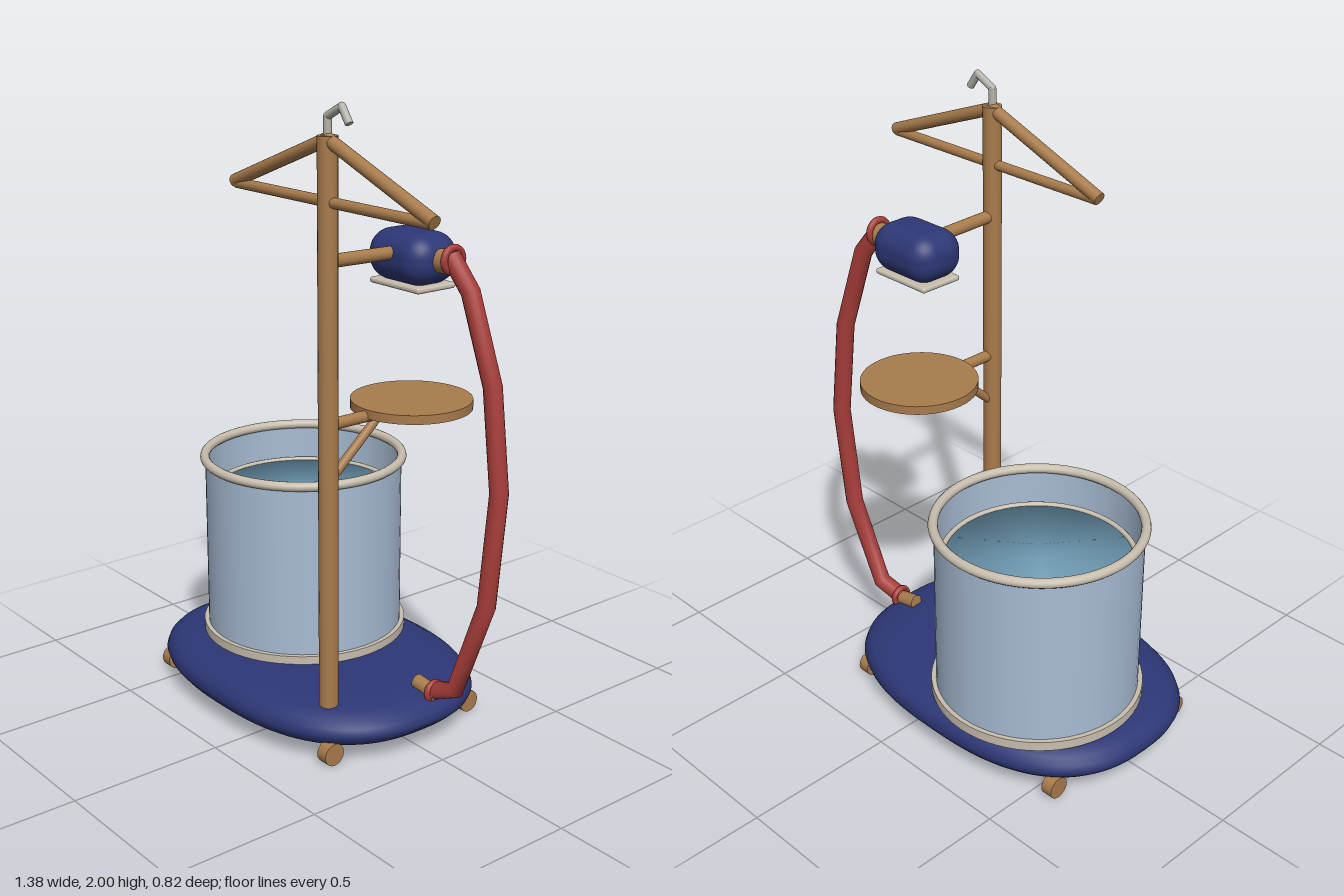
import * as THREE from 'three';
import { RoundedBoxGeometry } from 'three/addons/geometries/RoundedBoxGeometry.js';

const V = (x, y, z) => new THREE.Vector3(x, y, z);

export function createModel() {
  const model = new THREE.Group();
  const mat = (name, color, side = THREE.FrontSide) => {
    const m = new THREE.MeshStandardMaterial({ color, side });
    m.name = name;
    return m;
  };
  const wood = mat('wood', 0xa87b4c);
  const blue = mat('navy blue', 0x2d3776);
  const red = mat('red', 0xa83e3a);
  const cream = mat('cream', 0xc8beae);
  const glass = mat('pale blue', 0xa8bcd4, THREE.DoubleSide);
  const water = mat('water blue', 0x6f9ab3);
  const metal = mat('metal grey', 0xb4b2aa);

  const add = (name, geometry, material, x = 0, y = 0, z = 0) => {
    const mesh = new THREE.Mesh(geometry, material);
    mesh.name = name;
    mesh.position.set(x, y, z);
    model.add(mesh);
    return mesh;
  };
  // Round bar between two points
  const bar = (name, a, b, r, material = wood) => {
    const d = b.clone().sub(a);
    const mesh = add(name, new THREE.CylinderGeometry(r, r, d.length(), 20), material);
    mesh.position.copy(a).addScaledVector(d, 0.5);
    mesh.quaternion.setFromUnitVectors(V(0, 1, 0), d.normalize());
    return mesh;
  };
  const lathe = (points, n = 64) =>
    new THREE.LatheGeometry(points.map(([x, y]) => new THREE.Vector2(x, y)), n);

  // Base: cushion profile reshaped into a rounded oblong
  const baseGeo = lathe([[0, 0.03], [0.45, 0.03], [0.75, 0.035], [0.88, 0.046], [0.95, 0.062],
    [0.985, 0.08], [1, 0.1], [0.985, 0.122], [0.95, 0.142], [0.88, 0.158], [0.75, 0.167],
    [0.45, 0.17], [0, 0.17]], 96);
  const p = baseGeo.attributes.position;
  for (let i = 0; i < p.count; i++) {
    const x = p.getX(i), z = p.getZ(i), r = Math.hypot(x, z);
    if (r < 1e-6) continue;
    const n = 2.5, c = x / r, s = z / r;
    const power = (v) => Math.sign(v) * Math.abs(v) ** (2 / n);
    p.setX(i, 0.56 * r * power(c));
    p.setZ(i, 0.41 * r * power(s));
  }
  baseGeo.computeVertexNormals();
  add('base', baseGeo, blue, -0.13);

  // Wheels
  for (const x of [-0.56, 0.3]) for (const z of [-0.28, 0.28]) {
    bar('wheel', V(x - 0.02, 0.036, z), V(x + 0.02, 0.036, z), 0.036);
  }

  // Tank, its rims and the water
  const tx = -0.28, tz = -0.07;
  add('tankWall', new THREE.CylinderGeometry(0.325, 0.325, 0.6, 64, 1, true), glass, tx, 0.475, tz);
  add('tankBottomRim', new THREE.CylinderGeometry(0.34, 0.34, 0.032, 64), cream, tx, 0.181, tz);
  const ring = (name, R, r, y) => {
    add(name, new THREE.TorusGeometry(R, r, 12, 64), cream, tx, y, tz).rotation.x = Math.PI / 2;
  };
  ring('tankTopRim', 0.326, 0.0155, 0.773);
  ring('waterlineRing', 0.303, 0.009, 0.65);
  add('water', lathe([[0.3, 0.2], [0.3, 0.65], [0, 0.65]]), water, tx, 0, tz);

  // Pole and hanger
  const px = 0.235, pz = 0.235;
  bar('pole', V(px, 0.15, pz), V(px, 1.9, pz), 0.03);
  for (const s of [-1, 1]) {
    bar('hangerArm', V(px, 1.89, pz), V(px + s * 0.445, 1.72, pz), 0.02);
  }
  bar('hangerBar', V(px - 0.435, 1.715, pz), V(px + 0.435, 1.715, pz), 0.016);

  // Angular hook
  const hook = [V(px, 1.88, pz), V(px, 1.953, pz), V(px + 0.063, 1.985, pz), V(px + 0.095, 1.94, pz)];
  for (let i = 0; i < 3; i++) {
    bar('hook', hook[i], hook[i + 1], 0.012, metal);
    if (i) add('hookBend', new THREE.SphereGeometry(0.012, 12, 8), metal, ...hook[i].toArray());
  }

  // Round shelf with bracket
  add('shelf', new THREE.CylinderGeometry(0.187, 0.187, 0.028, 48), wood, px, 1.07, -0.088);
  bar('shelfArm', V(px, 1.06, pz), V(px, 1.06, 0.03), 0.018);
  bar('shelfBrace', V(px, 0.895, 0.22), V(px, 1.05, 0.045), 0.014);

  // Spray head
  const hz = -0.085;
  bar('headArm', V(px, 1.545, pz), V(px, 1.54, -0.03), 0.02);
  add('head', new RoundedBoxGeometry(0.255, 0.155, 0.19, 8, 0.07), blue, px, 1.523, hz);
  add('headPlate', new RoundedBoxGeometry(0.22, 0.018, 0.15, 3, 0.008), cream, px, 1.441, hz);
  for (const x of [-0.06, 0, 0.06]) for (const z of [-0.035, 0.035]) {
    add('nozzle', new THREE.CylinderGeometry(0.012, 0.012, 0.006, 12), blue, px + x, 1.431, hz + z);
  }

  // Hose with end fittings
  bar('upperFitting', V(0.34, 1.525, hz), V(0.41, 1.527, -0.09), 0.036);
  bar('lowerFitting', V(0.31, 0.175, -0.06), V(0.4, 0.16, -0.065), 0.024);
  const path = new THREE.CatmullRomCurve3([V(0.395, 1.545, -0.09), V(0.47, 1.45, -0.1),
    V(0.545, 1.18, -0.125), V(0.577, 0.86, -0.132), V(0.56, 0.5, -0.11), V(0.465, 0.2, -0.08),
    V(0.38, 0.168, -0.065)]);
  path.getUtoTmapping = (u) => u; // one tube ring at each path point
  add('hose', new THREE.TubeGeometry(path, 6, 0.029, 16), red);
  for (const [x, y, z, r] of [[0.405, 1.535, -0.09, 0.036], [0.385, 0.167, -0.065, 0.028]]) {
    const collar = add('hoseCollar', new THREE.TorusGeometry(r, 0.011, 10, 24), red, x, y, z);
    collar.rotation.y = Math.PI / 2;
  }
  return model;
}
